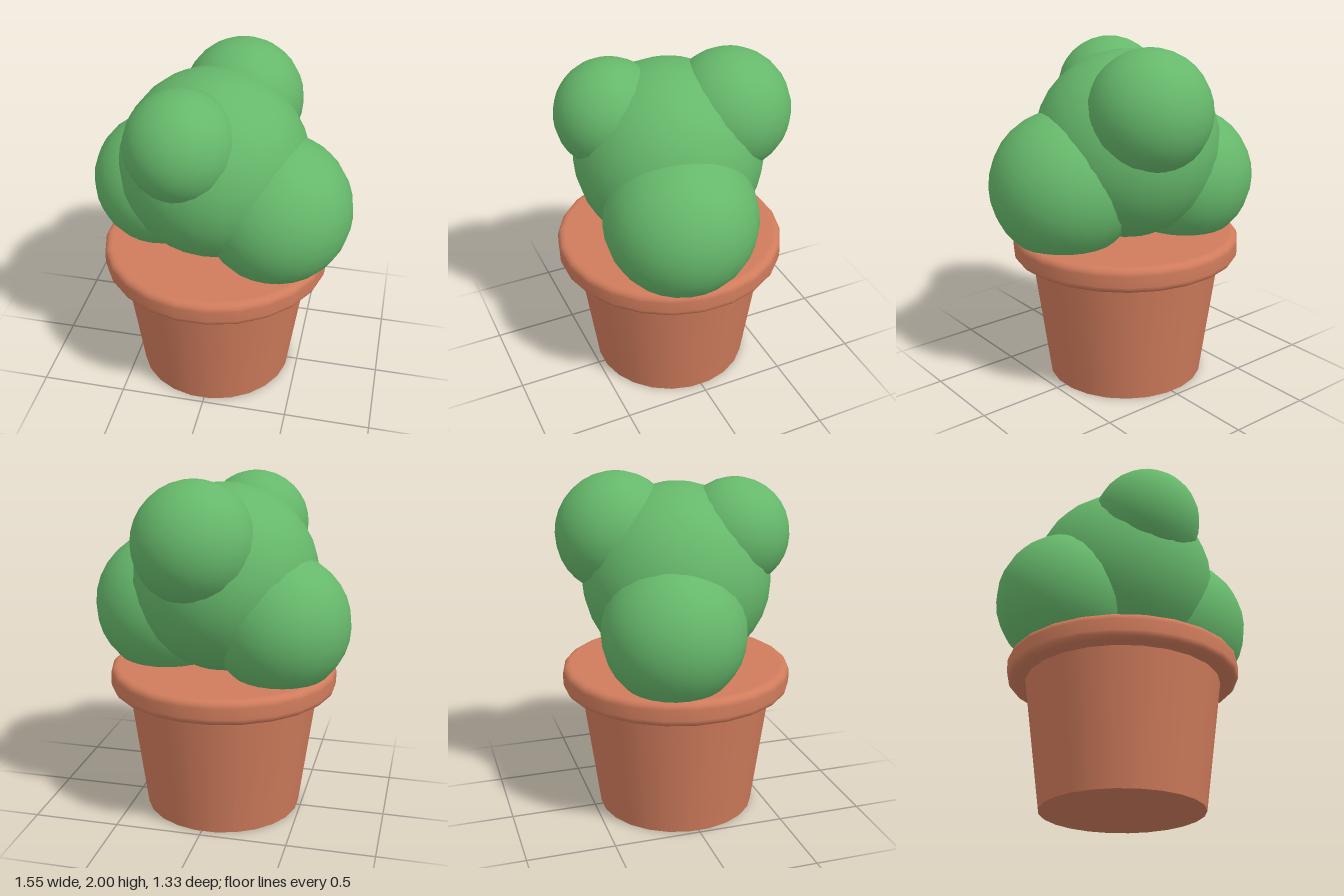
import * as THREE from 'three';

const SIDES = 24;

export function createModel() {
  const terracotta = new THREE.MeshStandardMaterial({ color: 0xd07c5c });
  terracotta.name = 'terracotta';
  const leafGreen = new THREE.MeshStandardMaterial({ color: 0x66b86b });
  leafGreen.name = 'leafGreen';

  const model = new THREE.Group();
  model.name = 'pottedBush';

  // Pot: tapered body with a rounded, closed rim on top
  const pot = new THREE.Group();
  pot.name = 'pot';
  pot.position.set(-0.02, 0, 0.005);
  model.add(pot);

  const body = new THREE.Mesh(
    new THREE.CylinderGeometry(0.565, 0.46, 0.78, SIDES, 1, false, Math.PI / SIDES),
    terracotta
  );
  body.name = 'potBody';
  body.position.y = 0.39;
  pot.add(body);

  // Rim profile: flat underside, rounded outer corners, flat top
  const outer = 0.664, low = 0.742, high = 0.885, round = 0.04;
  const profile = [new THREE.Vector2(0, low), new THREE.Vector2(outer - round - 0.01, low)];
  for (const [cy, start] of [[low + round, -Math.PI / 2], [high - round, 0]]) {
    for (let i = 0; i <= 4; i++) {
      const a = start + (i / 4) * (Math.PI / 2);
      profile.push(new THREE.Vector2(outer - round + Math.cos(a) * round, cy + Math.sin(a) * round));
    }
  }
  profile.push(new THREE.Vector2(outer - round - 0.01, high), new THREE.Vector2(0, high));
  const rim = new THREE.Mesh(new THREE.LatheGeometry(profile, SIDES, Math.PI / SIDES), terracotta);
  rim.name = 'potRim';
  pot.add(rim);

  // Foliage: overlapping balls, given as name, radius and centre
  const foliage = new THREE.Group();
  foliage.name = 'foliage';
  model.add(foliage);
  const balls = [
    ['mainFoliage', 0.54, -0.03, 1.4, 0.005],
    ['rightFoliage', 0.4, -0.375, 1.18, -0.115],
    ['leftFoliage', 0.43, 0.345, 1.2, 0.1],
    ['frontFoliage', 0.31, -0.145, 1.66, 0.308],
    ['backFoliage', 0.345, 0.07, 1.655, -0.318],
  ];
  for (const [name, radius, x, y, z] of balls) {
    const ball = new THREE.Mesh(new THREE.SphereGeometry(radius, 24, 16), leafGreen);
    ball.name = name;
    ball.position.set(x, y, z);
    foliage.add(ball);
  }

  return model;
}
